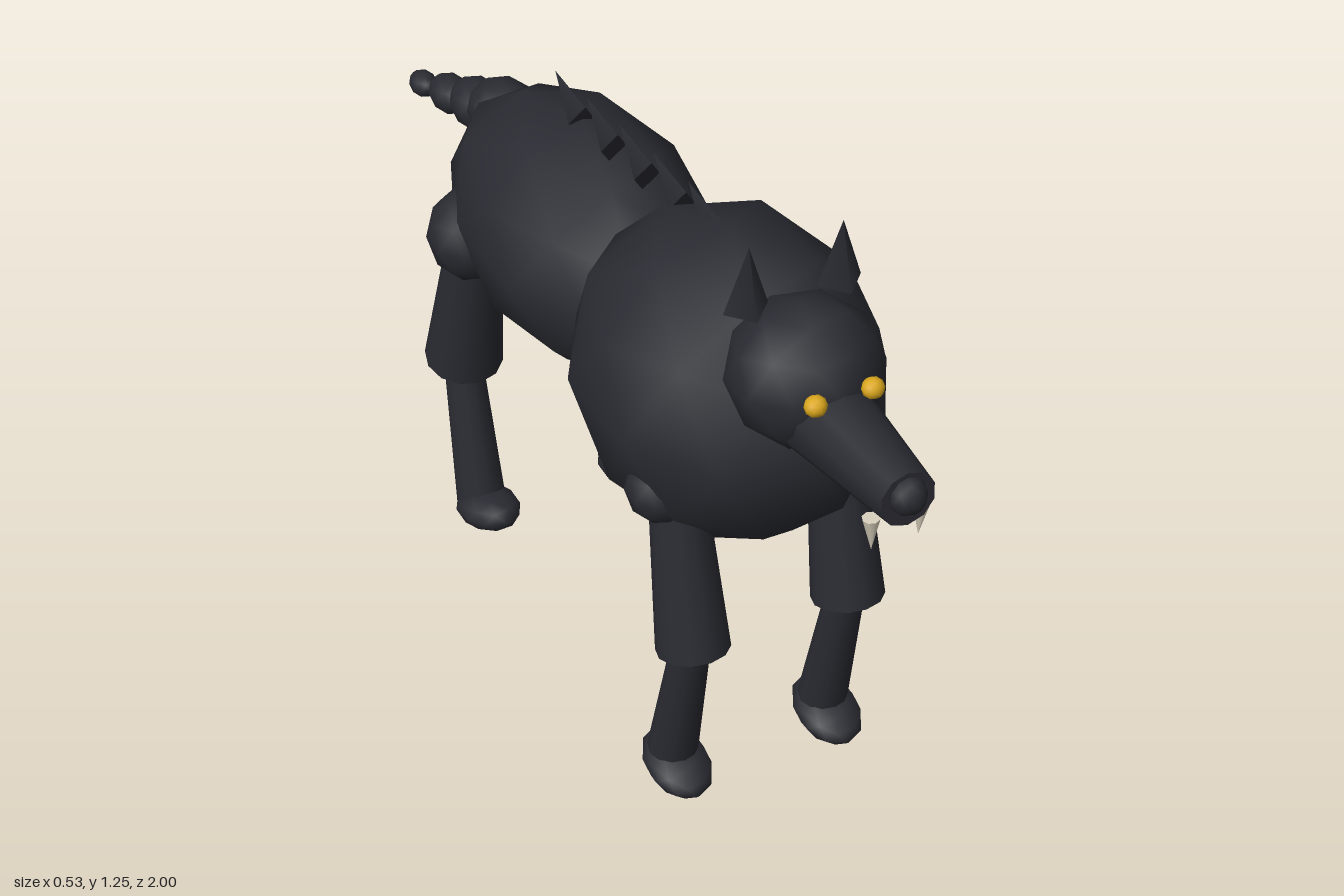
import * as THREE from 'three';

const material = (name, color) => {
  const m = new THREE.MeshStandardMaterial({ color });
  m.name = name;
  return m;
};

export function createModel() {
  const model = new THREE.Group();
  model.name = 'wolf';
  const fur = material('charcoal fur', 0x2a2b32);
  const amber = material('amber eye', 0xdba71c);
  const ivory = material('ivory fang', 0xd8d0bc);

  // Faceted ball with one vertex straight up
  const ball = new THREE.IcosahedronGeometry(1, 1);
  ball.rotateZ(Math.atan(2 / (1 + Math.sqrt(5))));

  const add = (name, geometry, mat) => {
    const mesh = new THREE.Mesh(geometry, mat);
    mesh.name = name;
    model.add(mesh);
    return mesh;
  };

  const blob = (name, pos, radii, tilt = 0, mat = fur) => {
    const mesh = add(name, ball, mat);
    mesh.position.set(...pos);
    mesh.scale.set(...radii);
    mesh.rotation.x = tilt;
    return mesh;
  };

  // Tapered cylinder or cone running from point a to point b
  const limb = (name, a, b, ra, rb, sides = 12, mat = fur) => {
    const from = new THREE.Vector3(...a);
    const dir = new THREE.Vector3(...b).sub(from);
    const mesh = add(name, new THREE.CylinderGeometry(rb, ra, dir.length(), sides), mat);
    mesh.position.copy(from).addScaledVector(dir, 0.5);
    mesh.quaternion.setFromUnitVectors(new THREE.Vector3(0, 1, 0), dir.normalize());
    return mesh;
  };

  // Body
  blob('chest', [0, 0.82, 0.352], [0.279, 0.31, 0.337]);
  blob('hindquarters', [0, 0.775, -0.222], [0.226, 0.239, 0.385]);

  // Head
  blob('skull', [0, 1.002, 0.622], [0.142, 0.137, 0.14], -0.14);
  limb('snout', [0, 0.953, 0.65], [0, 0.968, 0.968], 0.088, 0.053, 10);
  blob('nose', [0, 0.975, 0.965], [0.035, 0.037, 0.035]);

  for (const [side, s] of [['left', 1], ['right', -1]]) {
    blob(side + 'Eye', [s * 0.055, 1.033, 0.755], [0.021, 0.02, 0.02], 0, amber);
    limb(side + 'Fang', [s * 0.048, 0.922, 0.934], [s * 0.045, 0.853, 0.934], 0.016, 0, 8, ivory);
    limb(side + 'Ear', [s * 0.09, 1.127, 0.572], [s * 0.09, 1.255, 0.58], 0.043, 0, 4);

    // Front leg
    const x = s * 0.16;
    blob(side + 'Shoulder', [s * 0.185, 0.7, 0.458], [0.069, 0.07, 0.069]);
    limb(side + 'FrontUpperLeg', [x, 0.72, 0.458], [x, 0.37, 0.532], 0.05, 0.069);
    limb(side + 'FrontLowerLeg', [x, 0.375, 0.525], [x, 0.06, 0.455], 0.036, 0.048);
    blob(side + 'FrontPaw', [x, 0.044, 0.475], [0.062, 0.036, 0.087], 0.25);

    // Hind leg
    blob(side + 'Haunch', [s * 0.163, 0.722, -0.367], [0.092, 0.096, 0.092]);
    limb(side + 'HindUpperLeg', [x, 0.72, -0.365], [x, 0.378, -0.441], 0.053, 0.078);
    limb(side + 'HindLowerLeg', [x, 0.385, -0.45], [x, 0.05, -0.377], 0.038, 0.05);
    blob(side + 'HindPaw', [x, 0.06, -0.346], [0.062, 0.038, 0.087], -0.2);
  }

  // Row of spines leaning back along the spine
  for (let i = 0; i < 5; i++) {
    const z = 0.305 - 0.133 * i;
    const y = 1.08 - 0.0175 * i;
    const spine = limb('backSpine' + (i + 1), [0, y, z], [0, y + 0.049, z - 0.108], 0.043, 0, 4);
    spine.scale.x = 0.6;
  }

  // Tail of shrinking segments
  const tail = [
    [0.835, -0.575, 0.069, 0.063, 0.08],
    [0.78, -0.693, 0.053, 0.053, 0.076],
    [0.728, -0.825, 0.041, 0.04, 0.06],
    [0.675, -0.961, 0.028, 0.027, 0.039],
  ];
  tail.forEach(([y, z, rx, ry, rz], i) => blob('tailSegment' + (i + 1), [0, y, z], [rx, ry, rz], -0.1));

  return model;
}
